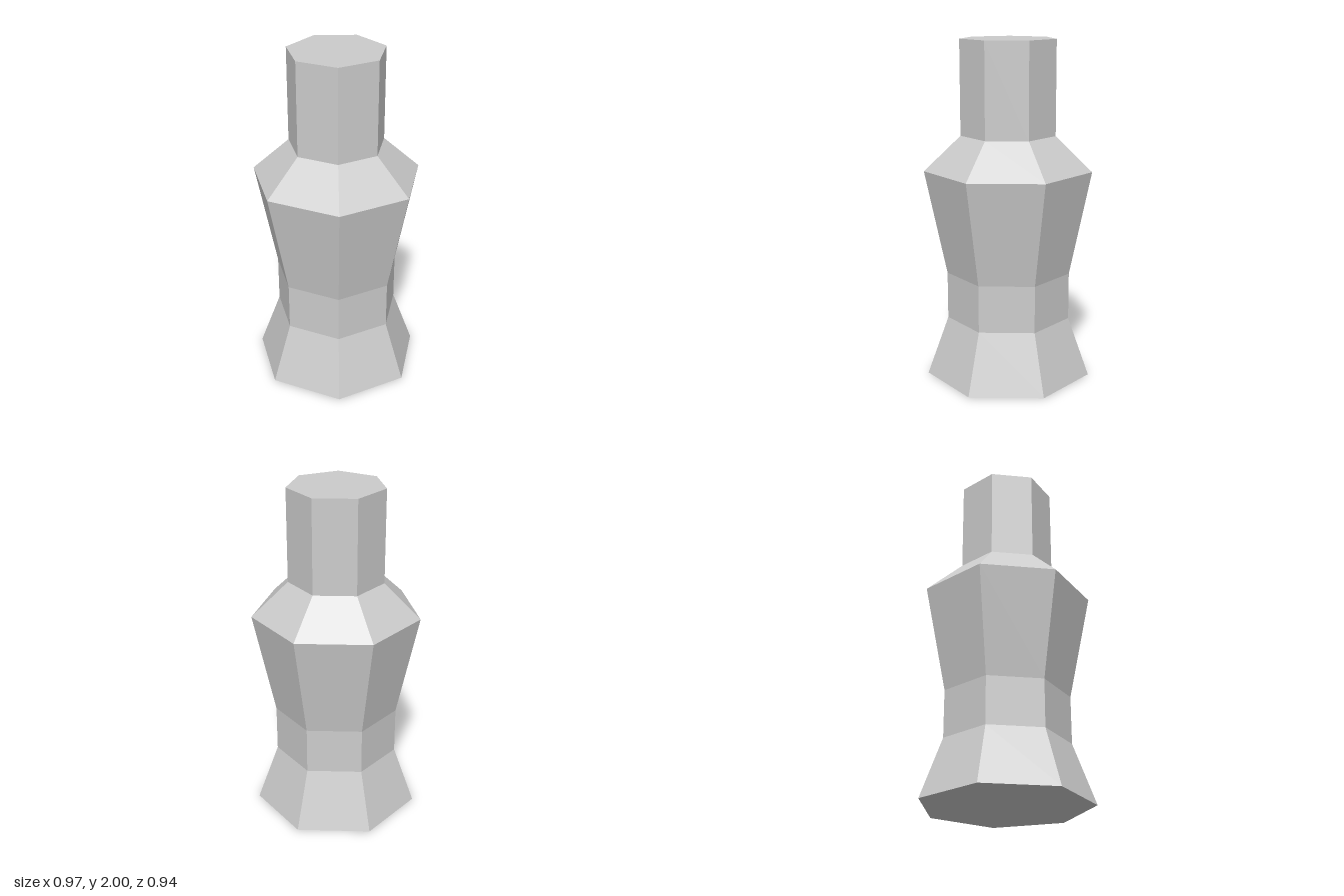
import * as THREE from 'three';

export function createModel() {
  const group = new THREE.Group();
  group.name = 'bottle';

  // Outline from the base centre up to the top centre: [radius, height]
  const profile = [
    [0, 0],
    [0.497, 0],     // flared foot
    [0.37, 0.35],   // waist, lower edge
    [0.37, 0.63],   // waist, upper edge
    [0.497, 1.25],  // shoulder
    [0.281, 1.45],  // neck, lower edge
    [0.281, 2],     // neck, top
    [0, 2],
  ].map(([r, y]) => new THREE.Vector2(r, y));

  // Seven-sided body with one corner pointing straight back
  const body = new THREE.Mesh(
    new THREE.LatheGeometry(profile, 7, Math.PI),
    new THREE.MeshStandardMaterial({ color: 0xcccccc, flatShading: true })
  );
  body.name = 'bottleBody';
  // A heptagon is deeper towards its corner, so shift it to centre the depth
  body.position.z = 0.497 * (1 - Math.cos(Math.PI / 7)) / 2;
  group.add(body);

  return group;
}
